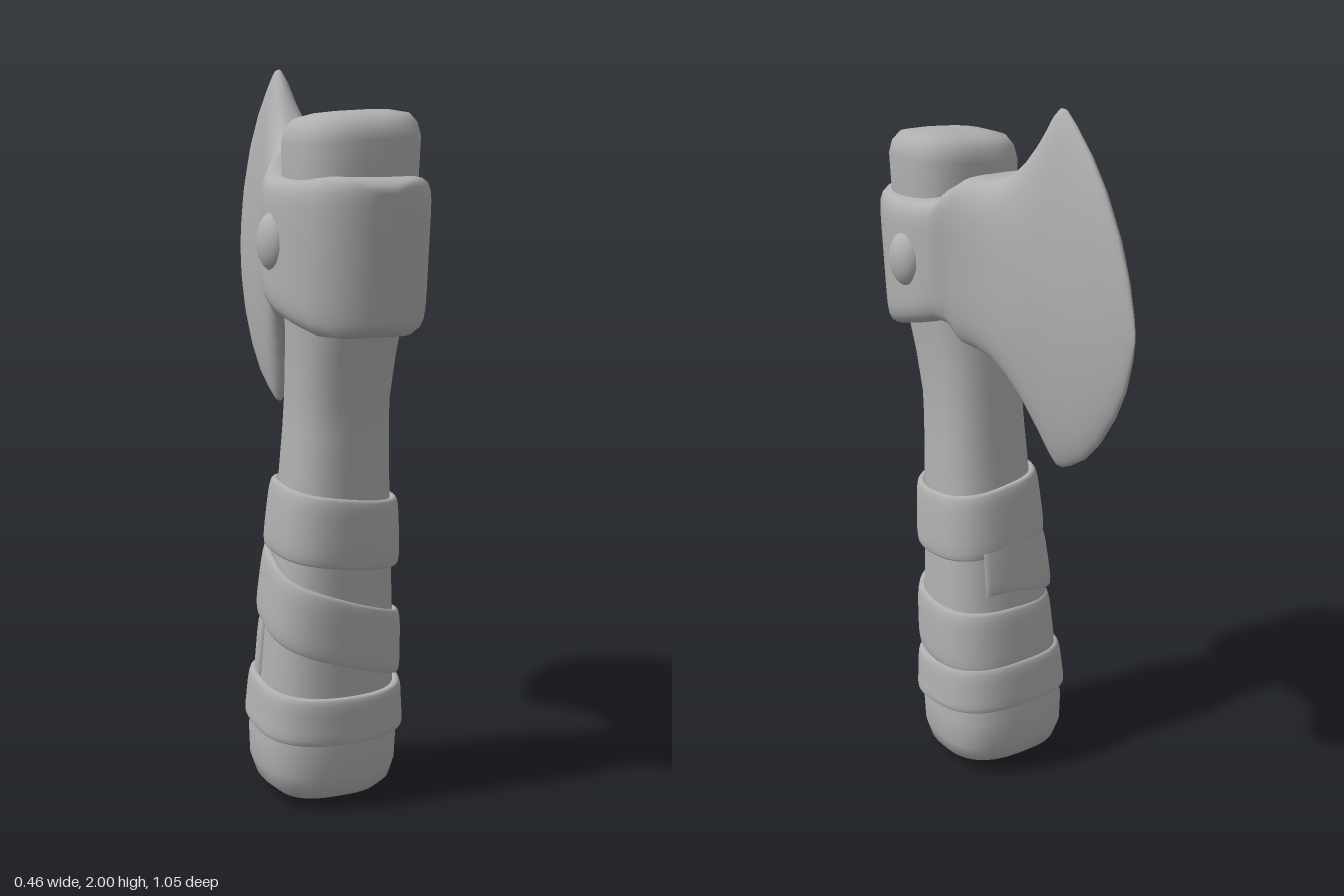
import * as THREE from 'three';

const SEG = 72;

// Unit superellipse point at angle t: n = 2 is round, higher is squarer
function squircle(t, n) {
  const c = Math.cos(t), s = Math.sin(t);
  const r = Math.pow(Math.abs(c) ** n + Math.abs(s) ** n, -1 / n);
  return [c * r, s * r];
}

const ring = (count, f) => Array.from({ length: count }, (_, j) => f((j / count) * Math.PI * 2));

// Skin closed rings; either cap both ends or join the last ring to the first
function loft(rings, loop = false) {
  const m = rings[0].length, k = rings.length;
  const pos = rings.flat(2), idx = [];
  for (let i = 0; i < (loop ? k : k - 1); i++) {
    for (let j = 0; j < m; j++) {
      const a = i * m + j, b = i * m + (j + 1) % m;
      const c = ((i + 1) % k) * m + j, d = ((i + 1) % k) * m + (j + 1) % m;
      idx.push(a, c, b, b, c, d);
    }
  }
  if (!loop) {
    for (const [row, flip] of [[0, false], [k - 1, true]]) {
      const centre = pos.length / 3;
      for (let q = 0; q < 3; q++) pos.push(rings[row].reduce((sum, p) => sum + p[q], 0) / m);
      for (let j = 0; j < m; j++) {
        const a = row * m + j, b = row * m + (j + 1) % m;
        idx.push(centre, ...(flip ? [b, a] : [a, b]));
      }
    }
  }
  const g = new THREE.BufferGeometry();
  g.setAttribute('position', new THREE.Float32BufferAttribute(pos, 3));
  g.setIndex(idx);
  g.computeVertexNormals();
  return g;
}

// Linear lookup in rows sorted by their first column
function lookup(rows, v) {
  let i = 0;
  while (i < rows.length - 2 && rows[i + 1][0] < v) i++;
  const a = rows[i], b = rows[i + 1];
  const f = THREE.MathUtils.clamp((v - a[0]) / (b[0] - a[0]), 0, 1);
  return a.map((x, q) => x + (b[q] - x) * f);
}

// Handle: height, front z, back z, half width
const HANDLE = [
  [0, 0.2, 0.14, 0.05], [0.008, 0.245, 0.08, 0.1], [0.022, 0.28, 0.03, 0.145], [0.05, 0.308, -0.02, 0.178],
  [0.1, 0.322, -0.038, 0.194], [0.18, 0.326, -0.04, 0.197], [0.25, 0.326, -0.024, 0.185],
  [0.35, 0.33, -0.01, 0.178], [0.5, 0.336, 0.015, 0.172], [0.7, 0.35, 0.045, 0.155],
  [0.9, 0.362, 0.075, 0.14], [1.05, 0.368, 0.092, 0.132], [1.13, 0.374, 0.1, 0.13], [1.25, 0.402, 0.115, 0.135],
  [1.35, 0.43, 0.13, 0.143], [1.5, 0.455, 0.15, 0.158], [1.7, 0.468, 0.165, 0.167],
  [1.8, 0.473, 0.168, 0.17], [1.835, 0.463, 0.178, 0.162], [1.86, 0.44, 0.2, 0.143],
  [1.871, 0.39, 0.25, 0.095], [1.874, 0.34, 0.3, 0.04],
];

// Point on the handle surface, pushed out by off
function onHandle(t, y, off) {
  const [, zf, zb, hx] = lookup(HANDLE, y);
  const [u, w] = squircle(t, 2.7);
  return [u * (hx + off) - 0.003, y, (zf + zb) / 2 + w * ((zf - zb) / 2 + off)];
}

// Head: z, top y, bottom y, half thickness, squareness
const HEAD = [
  [0.53, 1.67, 1.35, 0.03, 6], [0.524, 1.69, 1.33, 0.07, 7], [0.5, 1.705, 1.312, 0.125, 8],
  [0.45, 1.712, 1.312, 0.165, 8], [0.38, 1.712, 1.33, 0.192, 8], [0.3, 1.712, 1.35, 0.204, 8],
  [0.22, 1.715, 1.37, 0.2, 8], [0.16, 1.725, 1.385, 0.186, 7], [0.13, 1.76, 1.37, 0.167, 6],
  [0.1, 1.785, 1.32, 0.15, 5], [0.05, 1.786, 1.307, 0.131, 4.2], [0, 1.793, 1.285, 0.115, 3.6],
  [-0.05, 1.817, 1.245, 0.104, 3], [-0.1, 1.86, 1.192, 0.094, 2.5], [-0.15, 1.92, 1.125, 0.085, 2.1],
  [-0.19, 1.98, 1.068, 0.077, 1.8], [-0.21, 1.998, 1.05, 0.074, 1.7], [-0.23, 1.997, 1.05, 0.071, 1.7],
  [-0.27, 1.965, 1.068, 0.065, 1.7], [-0.33, 1.905, 1.105, 0.056, 1.8], [-0.39, 1.828, 1.165, 0.044, 1.9],
  [-0.45, 1.725, 1.25, 0.029, 2], [-0.49, 1.63, 1.33, 0.017, 2], [-0.513, 1.55, 1.41, 0.008, 2],
  [-0.523, 1.5, 1.465, 0.002, 2],
];

// Leather strip laid on the handle; centre and half height follow angle a from the back
function strip(from, to, centreY, half, lift, loop) {
  const steps = Math.round((to - from) / 5);
  const rings = [];
  for (let i = 0; i < (loop ? steps : steps + 1); i++) {
    const a = from + ((to - from) * i) / steps;
    const t = -THREE.MathUtils.degToRad(a + 90);
    rings.push(ring(28, (p) => {
      const [o, h] = squircle(p, 4);
      return onHandle(t, centreY(a) + h * half(a), lift(a) + o * 0.014);
    }));
  }
  return loft(rings, loop);
}

export function createModel() {
  const group = new THREE.Group();
  const grey = new THREE.MeshStandardMaterial({ color: 0xb0b0b0 });
  grey.name = 'plain grey';
  const add = (name, geometry) => {
    const mesh = new THREE.Mesh(geometry, grey);
    mesh.name = name;
    group.add(mesh);
    return mesh;
  };
  const cos = (a) => Math.cos(THREE.MathUtils.degToRad(a));

  // Curved handle with a slightly tilted top
  add('handle', loft(HANDLE.map(([y]) => ring(SEG, (t) => {
    const p = onHandle(t, y, 0);
    if (y > 1.6) p[1] += p[0] * 0.06;
    return p;
  }))));

  // Collar and flared blade in one skin, the collar leaning forward at the top
  add('axeHead', loft(HEAD.map(([z, top, bottom, hw, n]) => ring(SEG, (t) => {
    const [u, v] = squircle(t, n);
    const y = (top + bottom) / 2 + (v * (top - bottom)) / 2;
    const lean = 0.09 * THREE.MathUtils.smoothstep(z, 0.05, 0.4);
    const shift = 0.014 * THREE.MathUtils.smoothstep(-z, -0.1, 0.2);
    return [u * hw + shift, y, z + (y - 1.7) * lean];
  }))));

  // Rivets on both cheeks
  for (const side of [-1, 1]) {
    const rivet = add(side > 0 ? 'leftRivet' : 'rightRivet', new THREE.SphereGeometry(1, 32, 20));
    rivet.scale.set(0.042, 0.076, 0.063);
    rivet.position.set(side * 0.19, 1.545, 0.262);
  }

  // Closed bands above and below
  add('upperBand', strip(0, 360, (a) => 0.788 + 0.008 * cos(a) - 0.02 * cos(a + 90),
    () => 0.095, () => 0.008, true));
  add('lowerBand', strip(0, 360, (a) => 0.278 + 0.018 * cos(a), () => 0.066, () => 0.008, true));

  // Winding strip between the bands, its first turn lying over its tail
  const WIND = [[0, 0.67], [90, 0.595], [180, 0.5], [230, 0.45], [270, 0.435], [360, 0.43], [450, 0.42]];
  add('windingStrip', strip(-30, 440, (a) => lookup(WIND, a)[1], () => 0.092,
    (a) => 0.006 - 0.012 * THREE.MathUtils.smoothstep(a, 260, 440), false));

  return group;
}
